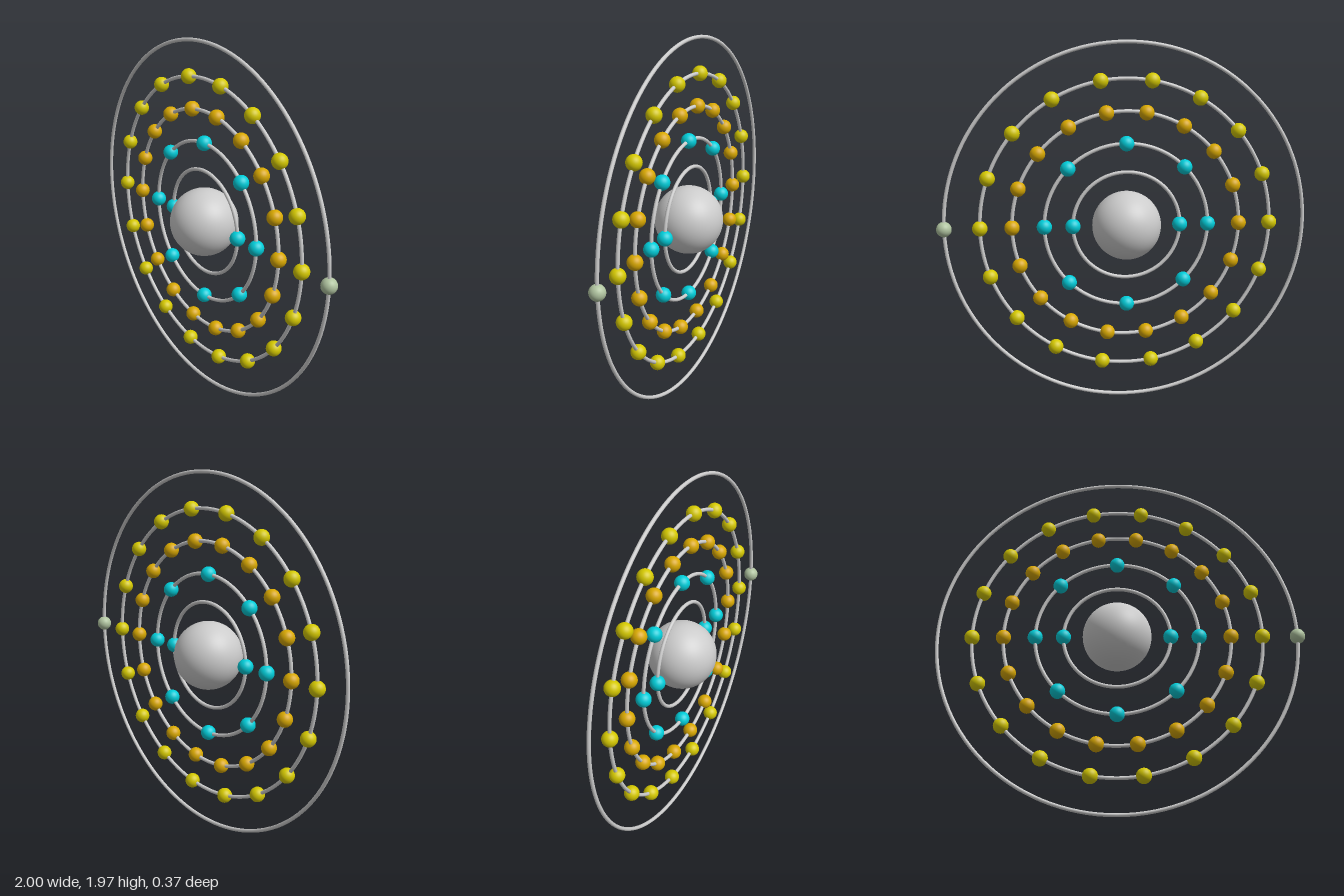
import * as THREE from 'three';

// Upright atom model: nucleus, five flat orbits and their electrons
const TUBE = 0.01;
const ELECTRON = 0.041;
const SHELLS = [
  { radius: 0.29, count: 2, color: 0x00ccd8 },
  { radius: 0.443, count: 8, color: 0x00ccd8 },
  { radius: 0.615, count: 18, color: 0xd8a800 },
  { radius: 0.785, count: 18, color: 0xd4c800 },
  { radius: 0.973, count: 1, color: 0xb0c4a0 },
];

export function createModel() {
  const model = new THREE.Group();
  model.name = 'atom';
  const grey = new THREE.MeshStandardMaterial({ color: 0xcccccc });

  const add = (parent, name, geometry, material) => {
    const mesh = new THREE.Mesh(geometry, material);
    mesh.name = name;
    parent.add(mesh);
    return mesh;
  };

  // Central nucleus
  add(model, 'nucleus', new THREE.SphereGeometry(0.186, 48, 32), grey);

  // Each shell is a thin ring with evenly spaced electrons, the first on +x
  const ball = new THREE.SphereGeometry(ELECTRON, 28, 18);
  SHELLS.forEach(({ radius, count, color }, s) => {
    const shell = new THREE.Group();
    shell.name = `shell${s + 1}`;
    model.add(shell);
    add(shell, 'orbitRing', new THREE.TorusGeometry(radius, TUBE, 12, 128), grey);
    const material = new THREE.MeshStandardMaterial({ color });
    for (let i = 0; i < count; i++) {
      const a = (i / count) * Math.PI * 2;
      add(shell, `electron${i + 1}`, ball, material)
        .position.set(radius * Math.cos(a), radius * Math.sin(a), 0);
    }
  });

  // Stand on the ground; the outer electron shifts the centre slightly to -x
  model.position.set(-(ELECTRON - TUBE) / 2, 0.973 + TUBE, 0);
  const root = new THREE.Group();
  root.name = 'atomModel';
  root.add(model);
  return root;
}
